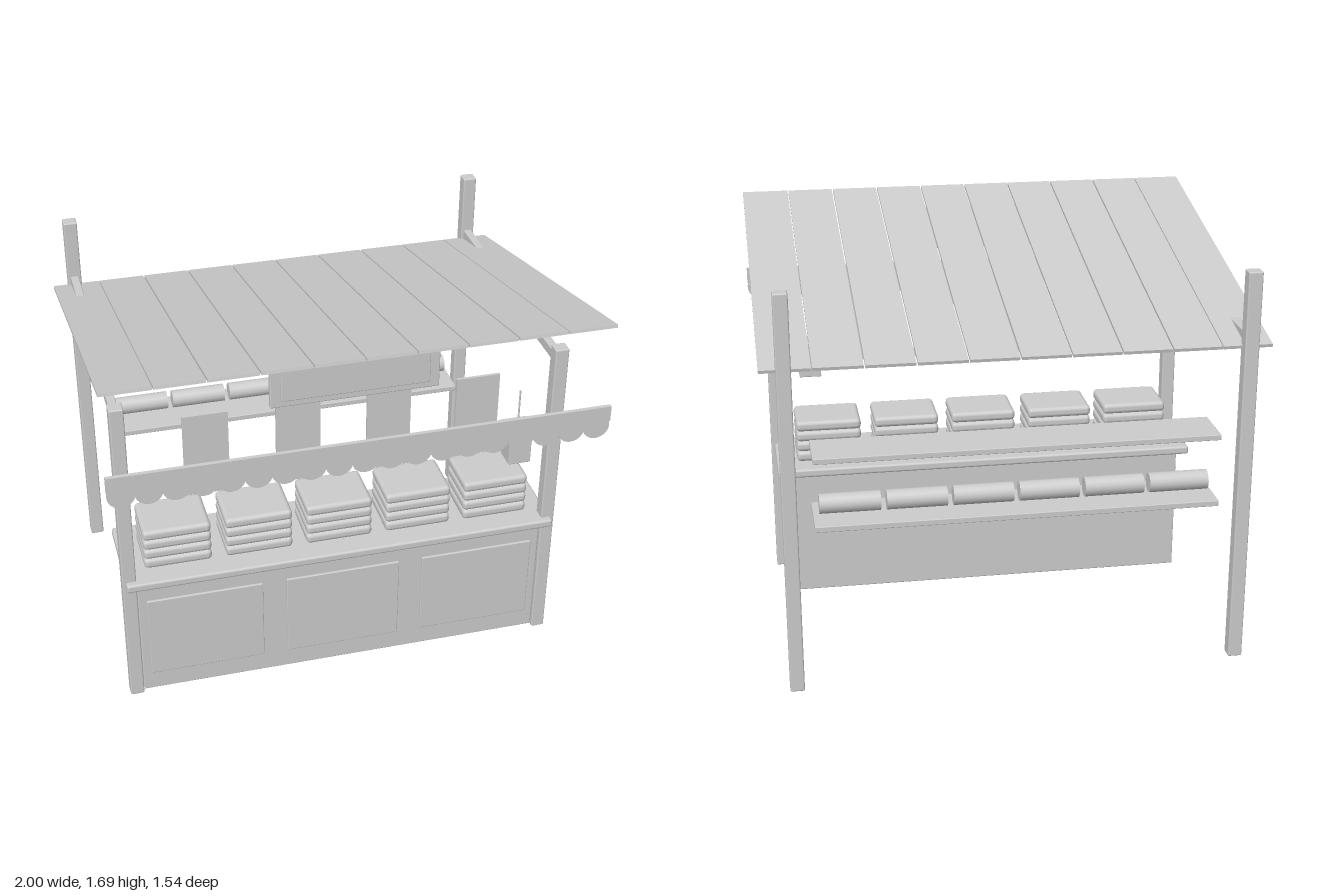
import * as THREE from 'three';
import { RoundedBoxGeometry } from 'three/addons/geometries/RoundedBoxGeometry.js';

export function createModel() {
  const stall = new THREE.Group();
  stall.name = 'marketStall';
  const grey = new THREE.MeshStandardMaterial({ color: 0xcccccc });
  grey.name = 'plain grey';

  function add(name, geometry, x, y, z) {
    const mesh = new THREE.Mesh(geometry, grey);
    mesh.name = name;
    mesh.position.set(x, y, z);
    stall.add(mesh);
    return mesh;
  }
  // Box given by its limits, with softened edges when r > 0
  function block(name, [x0, x1], [y0, y1], [z0, z1], r = 0) {
    const size = [x1 - x0, y1 - y0, z1 - z0];
    const geometry = r ? new RoundedBoxGeometry(...size, 2, r) : new THREE.BoxGeometry(...size);
    return add(name, geometry, (x0 + x1) / 2, (y0 + y1) / 2, (z0 + z1) / 2);
  }
  const around = (centre, size) => [centre - size / 2, centre + size / 2];

  // Posts and side beams
  for (const side of [-1, 1]) {
    const x = side * 0.906;
    block('frontPost', around(x, 0.058), [0, 1.435], [0.414, 0.472], 0.006);
    block('backPost', around(x, 0.058), [0, 1.655], [-0.77, -0.713], 0.006);
    block('sideBeam', around(x, 0.035), [1.355, 1.4], [-0.73, 0.43], 0.005);
  }

  // Counter with three front panels
  block('counterBody', [-0.875, 0.875], [0.01, 0.57], [0.12, 0.46], 0.005);
  block('counterTop', [-0.92, 0.92], [0.568, 0.605], [0.08, 0.5], 0.01);
  for (const x of [-0.594, 0, 0.594]) {
    block('counterPanel', around(x, 0.492), [0.1, 0.485], [0.455, 0.469], 0.004);
  }

  // Stacks of folded cloth on the counter
  for (let i = -2; i <= 2; i++) {
    for (let layer = 0; layer < 4; layer++) {
      const y = 0.604 + layer * 0.0465;
      block('foldedCloth', around(i * 0.344, 0.284), [y, y + 0.0465], [0.176, 0.406], 0.018);
    }
  }

  // Sloping roof of ten planks
  const rise = 0.34, run = 1.485;
  const length = Math.hypot(rise, run);
  for (let i = 0; i < 10; i++) {
    const plank = add('roofPlank', new THREE.BoxGeometry(0.194, 0.013, length), -0.9 + i * 0.2, 1.515, 0.006);
    plank.scale.x = i === 0 || i === 9 ? 1.02 : 1;
    plank.rotation.x = -Math.atan2(rise, run);
  }

  // Valance with scalloped lower edge
  block('valanceBoard', [-1, 1], [1.267, 1.335], [0.754, 0.771]);
  const disc = new THREE.CylinderGeometry(0.055, 0.055, 0.01, 24).rotateX(Math.PI / 2);
  for (let i = -9; i <= 9; i++) add('valanceScallop', disc, i * 0.105, 1.248, 0.762);

  // Sign board with raised face
  block('signBoard', [-0.337, 0.337], [1.438, 1.63], [0.588, 0.612], 0.005);
  block('signFace', [-0.296, 0.296], [1.467, 1.603], [0.605, 0.621], 0.004);

  // Hanging cloths
  for (const x of [-0.561, -0.187, 0.187, 0.561]) {
    block('hangingCloth', around(x, 0.182), [0.978, 1.347], around(0.443, 0.012));
  }

  // Hanging lantern
  block('lanternBody', around(0.748, 0.096), [0.922, 1.062], around(0.443, 0.096), 0.004);
  block('lanternCap', around(0.748, 0.124), [1.06, 1.083], around(0.443, 0.12), 0.004);
  add('lanternWire', new THREE.CylinderGeometry(0.004, 0.004, 0.17, 8), 0.748, 1.165, 0.443);

  // Back shelves and the rolls on the lower one
  block('upperShelf', [-0.81, 0.81], [0.96, 0.983], [-0.74, -0.53], 0.003);
  block('lowerShelf', [-0.81, 0.81], [0.677, 0.701], [-0.745, -0.495], 0.003);
  const roll = new THREE.CylinderGeometry(0.04, 0.04, 0.242, 16).rotateZ(Math.PI / 2);
  for (let i = 0; i < 6; i++) add('clothRoll', roll, (i - 2.5) * 0.266, 0.753, -0.635);

  return stall;
}
